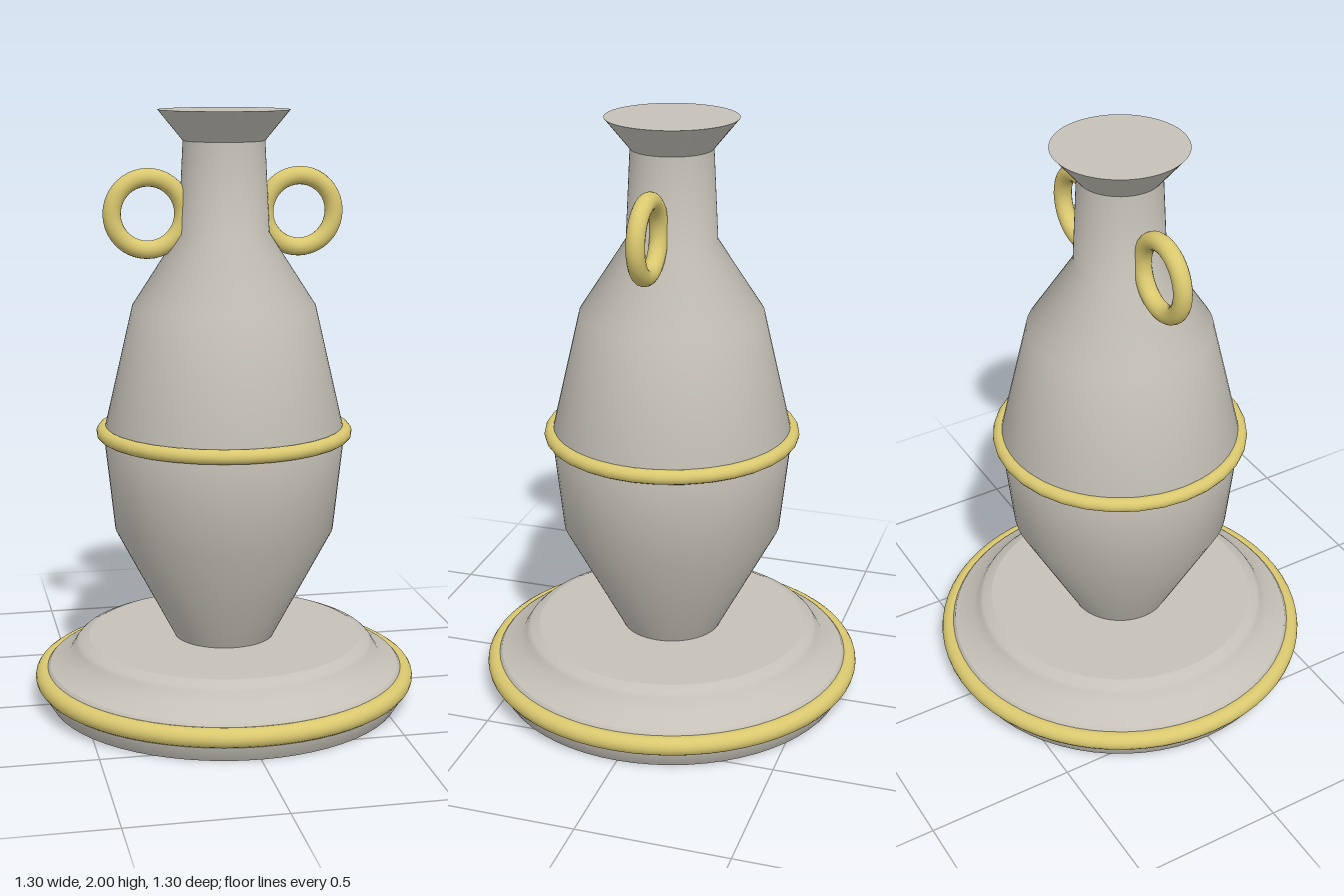
import * as THREE from 'three';

const stone = new THREE.MeshStandardMaterial({ color: 0xc5c1b8 });
stone.name = 'warm grey';
const gold = new THREE.MeshStandardMaterial({ color: 0xdac86f });
gold.name = 'pale gold';

export function createModel() {
  const group = new THREE.Group();
  const add = (name, geometry, material, x = 0, y = 0) => {
    const mesh = new THREE.Mesh(geometry, material);
    mesh.name = name;
    mesh.position.set(x, y, 0);
    group.add(mesh);
    return mesh;
  };
  // Profiles run upwards as [radius, height]
  const lathe = (points) =>
    new THREE.LatheGeometry(points.map(([r, y]) => new THREE.Vector2(r, y)), 64);
  const disc = (r, up) => new THREE.CircleGeometry(r, 64).rotateX(up ? -Math.PI / 2 : Math.PI / 2);
  const ring = (R, r, sides) => new THREE.TorusGeometry(R, r, 16, sides);

  // Stepped round base with flat top and underside
  add('baseRim', lathe([[0.6, 0], [0.63, 0.05], [0.63, 0.09], [0.6, 0.125]]), stone);
  add('baseShoulder', lathe([[0.6, 0.125], [0.535, 0.155], [0.51, 0.195], [0.497, 0.207], [0.465, 0.22]]), stone);
  add('baseTop', disc(0.465, true), stone, 0, 0.22);
  add('baseUnderside', disc(0.6, false), stone);
  add('baseBand', ring(0.618, 0.032, 64).rotateX(Math.PI / 2), gold, 0, 0.085);

  // Vase body, neck and flared lip
  add('body', lathe([[0.165, 0.21], [0.17, 0.22], [0.37, 0.6], [0.405, 0.93],
    [0.305, 1.36], [0.15, 1.6], [0.135, 1.9]]), stone);
  add('lip', lathe([[0.135, 1.9], [0.217, 2]]), stone);
  add('lipTop', disc(0.217, true), stone, 0, 2);
  add('bodyBand', ring(0.406, 0.024, 32).rotateX(Math.PI / 2), gold, 0, 0.935);

  // Ring handles on both sides of the neck
  for (const side of [-1, 1]) {
    add(side > 0 ? 'leftHandle' : 'rightHandle', ring(0.118, 0.03, 40), gold, side * 0.254, 1.666);
  }
  return group;
}
